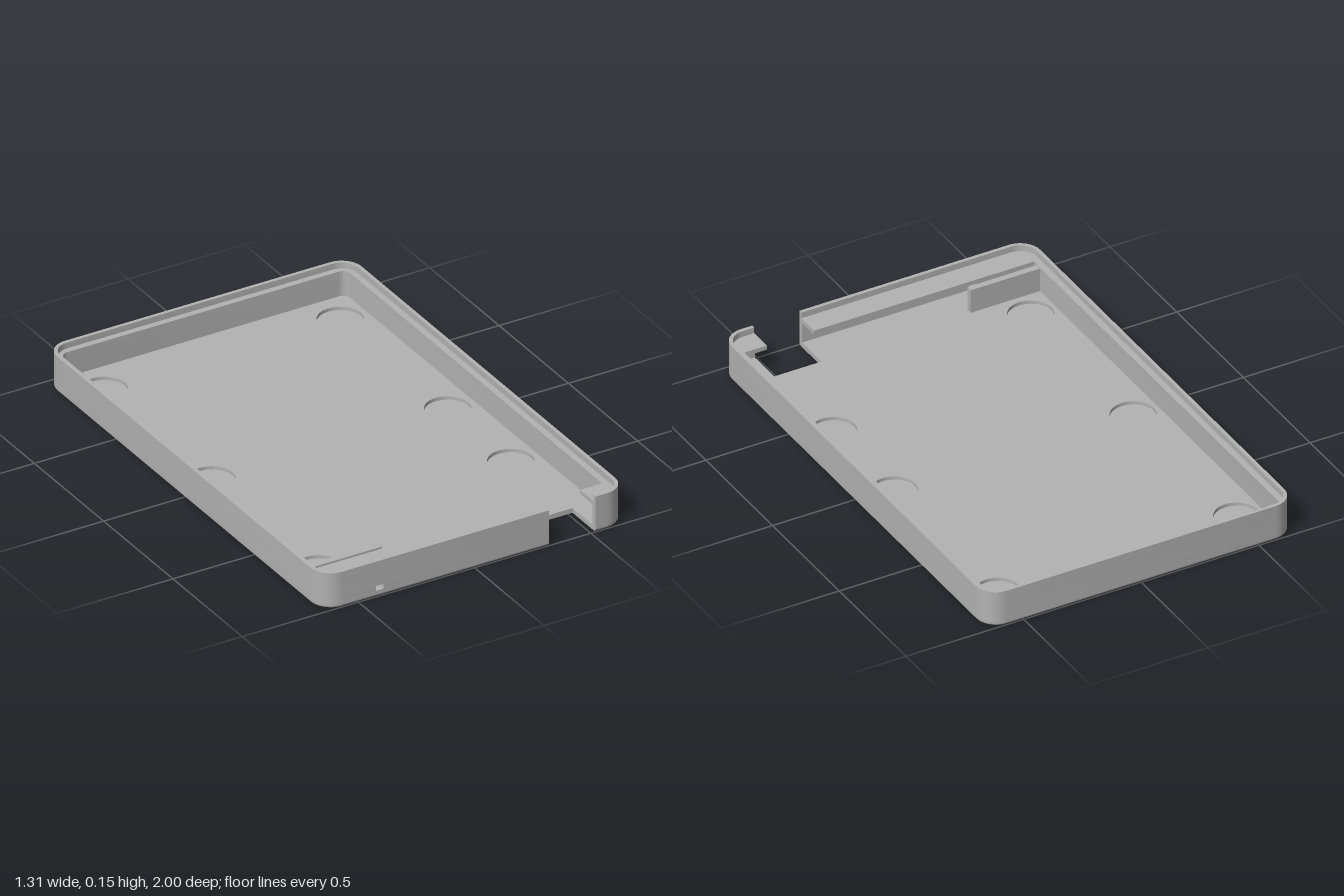
import * as THREE from 'three';
import { toCreasedNormals } from 'three/addons/utils/BufferGeometryUtils.js';

const HX = 0.655, HZ = 1, R = 0.085, H = 0.15;      // outer size and corner radius
const FLOOR = 0.02, STEP = 0.125, POCKET = 0.006;   // heights of floor, ledge and pocket bottoms
const NOTCH = { x0: 0.32, x1: 0.52, z: 0.835 };
const EDGE = 0.012;                                 // rounding of the bottom edge

// Open rounded rectangle, running from the notch's right side round to xEnd on the front.
// Plan coordinates are (x, -z).
function loop(hx, front, back, r, xEnd = NOTCH.x0) {
  const pts = [new THREE.Vector2(NOTCH.x1, front)];
  const corners = [[hx - r, front + r], [hx - r, back - r], [r - hx, back - r], [r - hx, front + r]];
  corners.forEach(([cx, cy], i) => {
    for (let k = 0; k <= 8; k++) {
      const a = (i - 1 + k / 8) * Math.PI / 2;
      pts.push(new THREE.Vector2(cx + r * Math.cos(a), cy + r * Math.sin(a)));
    }
  });
  pts.push(new THREE.Vector2(xEnd, front));
  return pts;
}

// Upright slab of a plan shape from y0 to y1
function slab(points, y0, y1, steps = 1, holes = []) {
  const shape = new THREE.Shape(points);
  shape.holes.push(...holes);
  const g = new THREE.ExtrudeGeometry(shape, { depth: y1 - y0, steps, bevelEnabled: false, curveSegments: 24 });
  g.rotateX(-Math.PI / 2);
  g.translate(0, y0, 0);
  return g;
}

// Pull outline vertices inward near the ground to round the bottom edge
function roundBottom(g) {
  const p = g.attributes.position;
  for (let i = 0; i < p.count; i++) {
    const x = p.getX(i), y = p.getY(i), z = p.getZ(i);
    const cx = THREE.MathUtils.clamp(x, R - HX, HX - R);
    const cz = THREE.MathUtils.clamp(z, R - HZ, HZ - R);
    if (y >= EDGE || Math.hypot(x - cx, z - cz) < R - 1e-4) continue;
    const inset = EDGE - Math.sqrt(Math.max(0, EDGE ** 2 - (EDGE - y) ** 2));
    const k = 1 - inset / R;
    p.setXYZ(i, cx + (x - cx) * k, y, cz + (z - cz) * k);
  }
  return g;
}

export function createModel() {
  const group = new THREE.Group();
  const grey = new THREE.MeshStandardMaterial({ color: 0xb2b2b2 });
  grey.name = 'grey plastic';

  const add = (name, geometry) => {
    const mesh = new THREE.Mesh(toCreasedNormals(geometry, 0.6), grey);
    mesh.name = name;
    group.add(mesh);
  };
  const box = (name, x0, x1, y0, y1, z0, z1) => {
    const g = new THREE.BoxGeometry(x1 - x0, y1 - y0, z1 - z0);
    g.translate((x0 + x1) / 2, (y0 + y1) / 2, (z0 + z1) / 2);
    add(name, g);
  };

  // Floor: a solid skin under a layer with six round pockets
  const plan = [
    ...loop(HX, -HZ, HZ, R),
    new THREE.Vector2(NOTCH.x0, -NOTCH.z), new THREE.Vector2(NOTCH.x1, -NOTCH.z),
  ];
  const pockets = [[-0.51, -0.815], [0.505, -0.815], [-0.51, -0.04], [0.505, -0.04], [0.505, 0.415], [-0.51, 0.73]]
    .map(([x, z]) => new THREE.Path().absarc(x, -z, 0.088, 0, Math.PI * 2, true));
  add('floorSkin', roundBottom(slab(plan, 0, POCKET, 4)));
  add('pocketedFloor', roundBottom(slab(plan, POCKET, FLOOR, 6, pockets)));

  // Walls, with a thinner front and a small port opening through it
  const inner = { hx: 0.615, front: -0.98, back: 0.96, r: 0.03 };
  const ring = (i, xEnd) => [
    ...loop(HX, -HZ, HZ, R, xEnd),
    ...loop(i.hx, i.front, i.back, i.r, xEnd).reverse(),
  ];
  const port = { x0: -0.425, x1: -0.39, y0: 0.026, y1: 0.046 };
  add('wallBelowPort', slab(ring(inner), FLOOR, port.y0));
  add('wallBesidePort', slab(ring(inner, port.x0), port.y0, port.y1));
  box('frontWallBesidePort', port.x1, NOTCH.x0, port.y0, port.y1, 0.98, HZ);
  add('wallAbovePort', slab(ring(inner), port.y1, STEP));

  // Thin raised rim around the top
  add('rim', slab(ring({ hx: 0.64, front: -0.985, back: 0.985, r: 0.07 }), STEP, H));

  // Front ledge on both sides of the notch, and the inner rib
  box('frontLedge', -inner.hx, NOTCH.x0, STEP - 0.018, STEP, 0.89, 0.98);
  box('frontLedgeEnd', NOTCH.x1, inner.hx, STEP - 0.018, STEP, 0.89, 0.98);
  box('innerRib', -inner.hx, -0.32, FLOOR, STEP - 0.005, 0.845, 0.87);

  return group;
}
